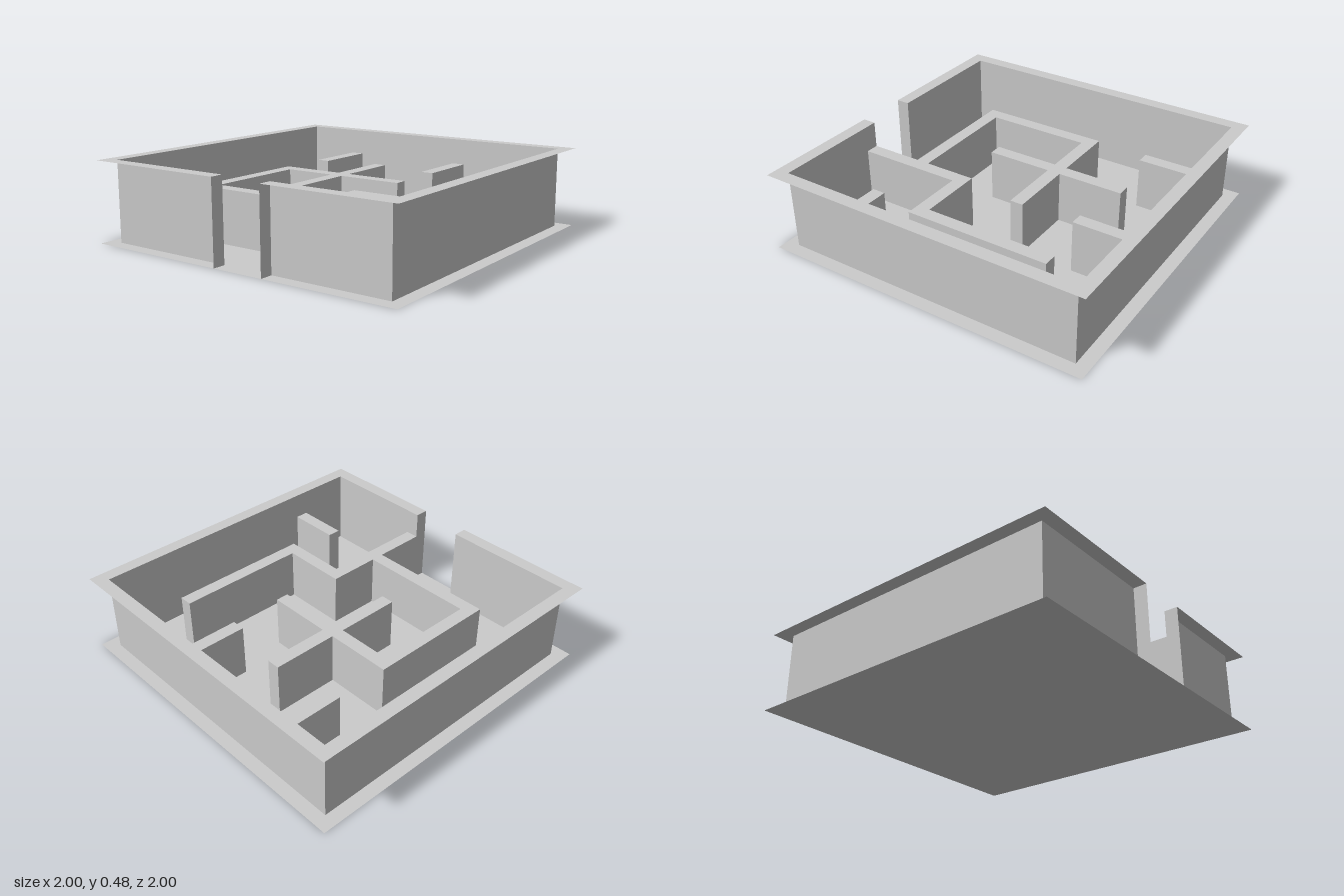
import * as THREE from 'three';

const RIM = 0.48;   // height of the outer wall
const WALL = 0.32;  // height of the inner partitions

export function createModel() {
  const model = new THREE.Group();
  const solid = new THREE.MeshStandardMaterial({ color: 0xcccccc, flatShading: true });
  const sheet = new THREE.MeshStandardMaterial({ color: 0xcccccc, flatShading: true, side: THREE.DoubleSide });

  const add = (name, geometry, material) => {
    const mesh = new THREE.Mesh(geometry, material);
    mesh.name = name;
    model.add(mesh);
    return mesh;
  };
  // Plan outlines are [x, z] pairs, laid flat on the ground
  const plan = (points) => new THREE.Shape(points.map(([x, z]) => new THREE.Vector2(x, -z)));
  const flat = (points) => new THREE.ShapeGeometry(plan(points)).rotateX(-Math.PI / 2);
  const partition = (name, points) => add(name,
    new THREE.ExtrudeGeometry(plan(points), { depth: WALL, bevelEnabled: false }).rotateX(-Math.PI / 2), solid);
  const rect = (x0, x1, z0, z1) => [[x0, z0], [x1, z0], [x1, z1], [x0, z1]];

  // Floor sheet
  add('floor', flat(rect(-1, 1, -1, 1)), sheet);

  // Thin outer wall with the entrance jambs at both ends of its path
  const path = [[-0.12, 1], [-0.12, 0.92], [-0.92, 0.92], [-0.92, -0.92],
    [0.92, -0.92], [0.92, 0.92], [0.2, 0.92], [0.2, 1]];
  for (let i = 0; i < path.length - 1; i++) {
    const [[x0, z0], [x1, z1]] = [path[i], path[i + 1]];
    const panel = add(i === 0 || i === path.length - 2 ? 'entranceJamb' : 'outerWall',
      new THREE.PlaneGeometry(Math.hypot(x1 - x0, z1 - z0), RIM), sheet);
    panel.position.set((x0 + x1) / 2, RIM / 2, (z0 + z1) / 2);
    panel.rotation.y = -Math.atan2(z1 - z0, x1 - x0);
  }

  // Flat rim on top, open at the entrance
  const rim = add('rim', flat([...path, [1, 1], [1, -1], [-1, -1], [-1, 1]]), sheet);
  rim.position.y = RIM;

  // Free-standing short partitions joined to the outer wall
  partition('backLeftPartition', rect(0.2, 0.28, -0.92, -0.52));
  partition('backRightPartition', rect(-0.6, -0.52, -0.92, -0.52));
  partition('sidePartition', rect(0.6, 0.92, 0.52, 0.6));

  // Connected network of partitions: cross, right corridor and stepped left run
  partition('mainPartition', [
    [-0.6, -0.2], [-0.2, -0.2], [-0.2, -0.6], [-0.12, -0.6], [-0.12, -0.2], [0.28, -0.2],
    [0.28, -0.12], [-0.12, -0.12], [-0.12, 0.28], [-0.2, 0.28], [-0.2, -0.12], [-0.52, -0.12],
    [-0.52, 0.52], [0.2, 0.52], [0.2, 0.2], [0.6, 0.2], [0.6, -0.6], [0.68, -0.6],
    [0.68, 0.28], [0.28, 0.28], [0.28, 0.92], [0.2, 0.92], [0.2, 0.6], [-0.6, 0.6],
  ]);

  return model;
}
